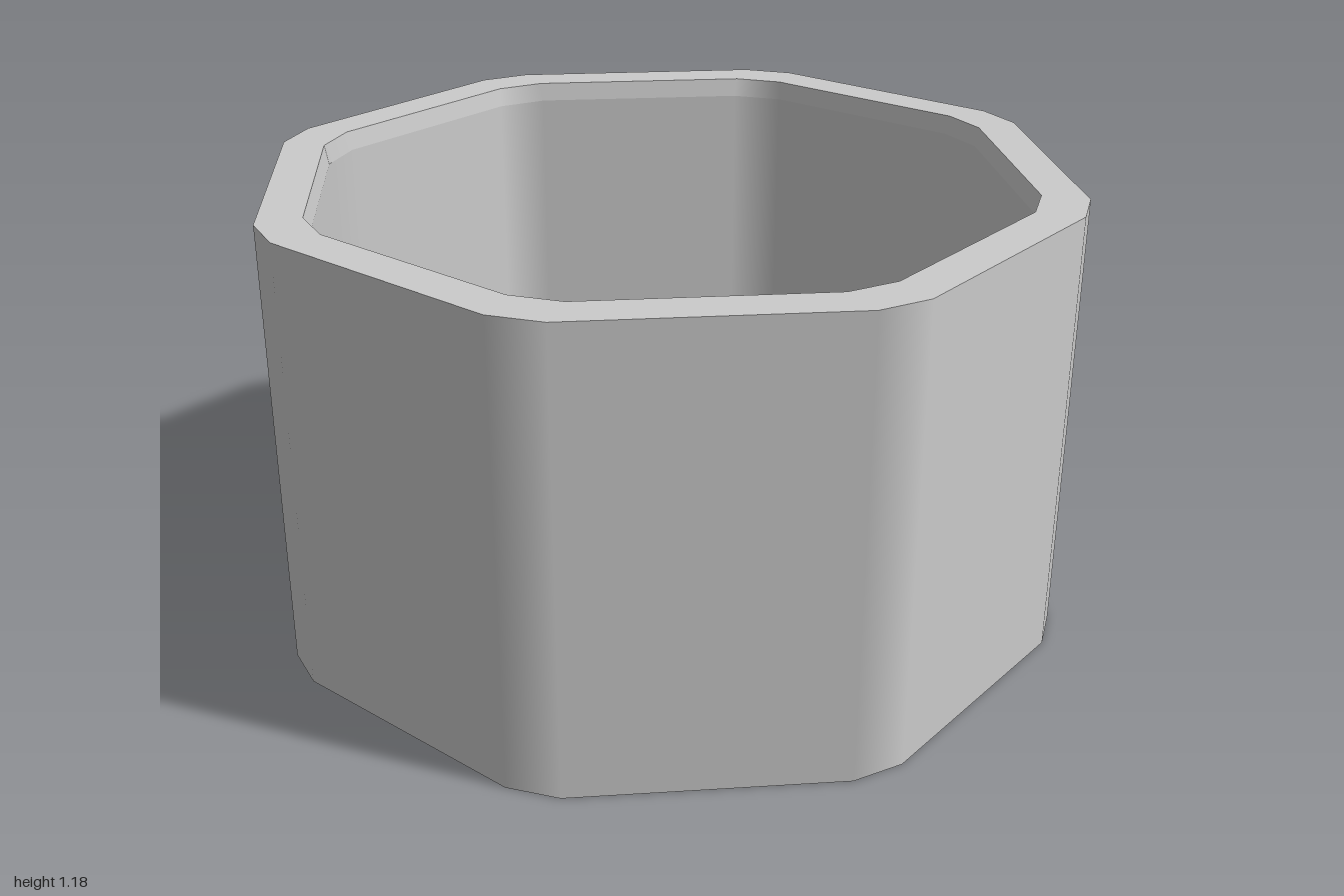
import * as THREE from 'three';

const SIDES = 8;

// Cross-section of the wall, going round it: [distance of flat from axis, half width of flat, y]
const PROFILE = [
  [1.0, 0.34, 0], [1.0, 0.34, 1.18],           // outer wall
  [0.89, 0.297, 1.18], [0.88, 0.29, 1.13],     // rim and inner top chamfer
  [0.88, 0.29, 0.05], [0.89, 0.297, 0],        // inner wall and inner bottom chamfer
];

// One strip round the octagon; each flat keeps its own normal, so the corner cuts shade smoothly
function strip([r0, h0, y0], [r1, h1, y1]) {
  const positions = [], normals = [], index = [];
  const length = Math.hypot(r1 - r0, y1 - y0);
  const out = (y1 - y0) / length, up = (r0 - r1) / length;
  for (let k = 0; k <= SIDES; k++) {
    const a = (k / SIDES) * Math.PI * 2, s = Math.sin(a), c = Math.cos(a);
    for (const side of [-1, 1]) {
      for (const [r, h, y] of [[r0, h0, y0], [r1, h1, y1]]) {
        positions.push(s * r + c * h * side, y, c * r - s * h * side);
        normals.push(s * out, up, c * out);
      }
    }
  }
  for (let i = 0; i < SIDES * 2; i++) {
    const a = i * 2;
    index.push(a, a + 2, a + 3, a, a + 3, a + 1);
  }
  const geometry = new THREE.BufferGeometry();
  geometry.setAttribute('position', new THREE.Float32BufferAttribute(positions, 3));
  geometry.setAttribute('normal', new THREE.Float32BufferAttribute(normals, 3));
  geometry.setIndex(index);
  return geometry;
}

export function createModel() {
  const model = new THREE.Group();
  model.name = 'octagonalRing';
  const material = new THREE.MeshStandardMaterial({ color: 0xcccccc });
  const names = ['outerWall', 'topRim', 'topInnerChamfer', 'innerWall', 'bottomInnerChamfer', 'bottomRim'];
  names.forEach((name, i) => {
    const mesh = new THREE.Mesh(strip(PROFILE[i], PROFILE[(i + 1) % PROFILE.length]), material);
    mesh.name = name;
    model.add(mesh);
  });
  return model;
}
